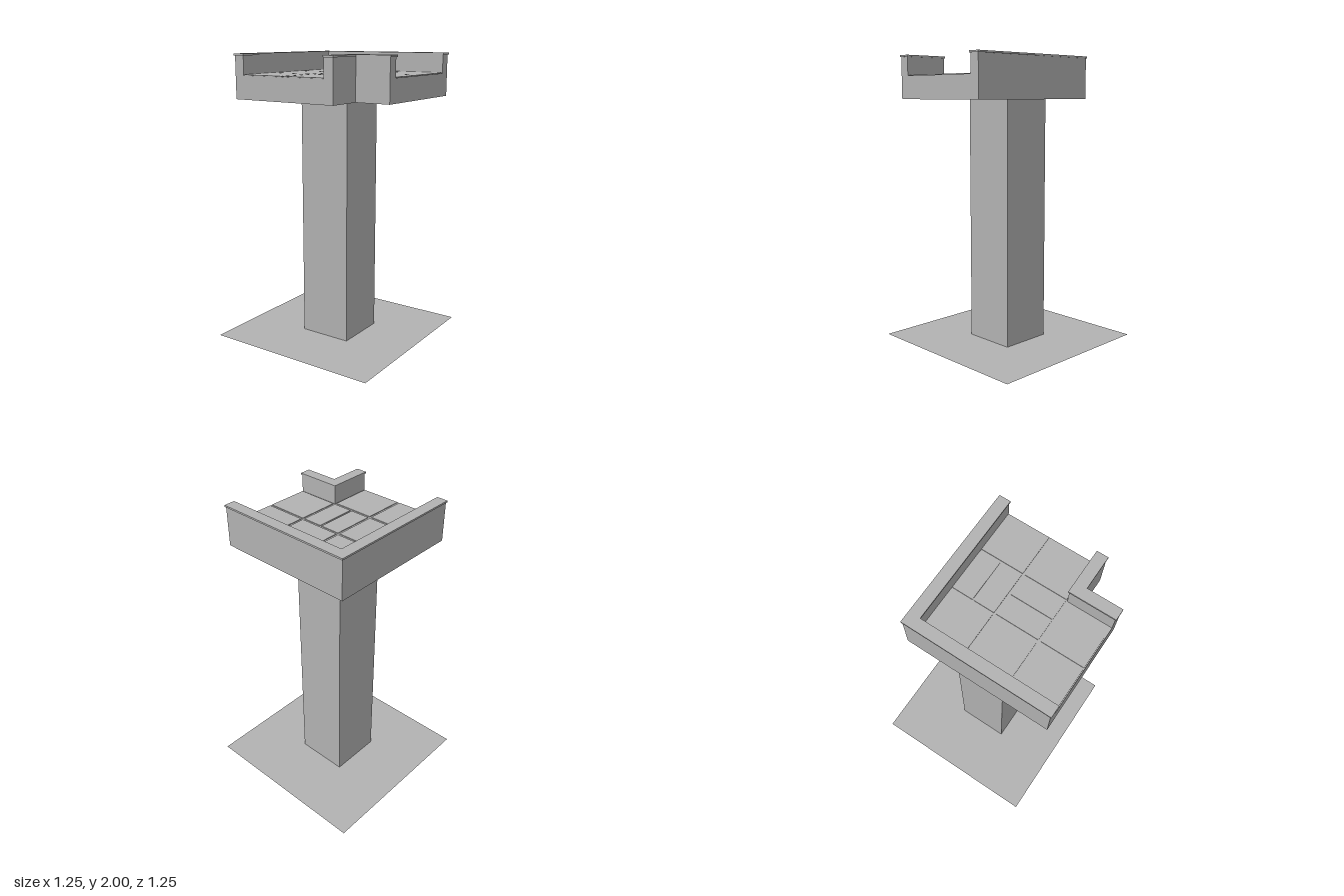
import * as THREE from 'three';

const stone = new THREE.MeshStandardMaterial({ color: 0xb2b2b2, side: THREE.DoubleSide });
stone.name = 'grey stone';

// Extrude a plan outline of [x, z] corners from height y0 to y1
function slab(name, outline, y0, y1) {
  const shape = new THREE.Shape(outline.map(([x, z]) => new THREE.Vector2(x, -z)));
  const geo = new THREE.ExtrudeGeometry(shape, { depth: y1 - y0, bevelEnabled: false });
  geo.rotateX(-Math.PI / 2).translate(0, y0, 0);
  const mesh = new THREE.Mesh(geo, stone);
  mesh.name = name;
  return mesh;
}

const rect = (x0, x1, z0, z1) => [[x0, z0], [x1, z0], [x1, z1], [x0, z1]];

// L-shaped plan: a corner at (a, a), inner corner at (b, b), both arms ending at e
const angle = (a, b, e) => [[a, a], [e, a], [e, b], [b, b], [b, e], [a, e]];

export function createModel() {
  const model = new THREE.Group();
  model.name = 'balconyTower';

  // Ground sheet
  const ground = new THREE.Mesh(new THREE.PlaneGeometry(1.244, 1.244), stone);
  ground.name = 'ground';
  ground.rotation.x = -Math.PI / 2;
  ground.position.set(-0.005, 0, -0.005);
  model.add(ground);

  // Square pillar
  model.add(slab('pillar', rect(-0.19, 0.183, -0.19, 0.183), 0, 1.71));

  // Deck with one corner cut away
  const floorY = 1.864, lo = -0.386, hi = 0.618, cut = 0.376;
  model.add(slab('deck', [[lo, lo], [hi, lo], [hi, cut], [cut, cut], [cut, hi], [lo, hi]], 1.71, floorY));

  // Parapets on the outer corner and around the cut, with overhanging caps
  const capY = 1.988;
  model.add(slab('outerParapet', angle(lo, -0.317, hi), floorY, capY));
  model.add(slab('cornerParapet', angle(0.308, cut, hi), floorY, capY));
  model.add(slab('outerCap', angle(-0.392, -0.311, 0.625), capY, 2));
  model.add(slab('cornerCap', angle(0.302, 0.382, 0.625), capY, 2));

  // Paving slabs separated by narrow joints; two of the squares are halved
  const spans = [[-0.317, -0.014], [0.001, 0.299], [0.314, 0.612]];
  const paving = new THREE.Group();
  paving.name = 'paving';
  const addTile = (x0, x1, z0, z1) =>
    paving.add(slab('pavingSlab', rect(x0, x1, z0, z1), floorY, floorY + 0.005));
  spans.forEach(([x0, x1], col) => spans.forEach(([z0, z1], row) => {
    if (col === 2 && row === 2) return;
    if (col === 1 && row === 0) {
      addTile(x0, x1, z0, -0.169);
      addTile(x0, x1, -0.157, z1);
    } else if (col === 1 && row === 1) {
      addTile(x0, 0.144, z0, z1);
      addTile(0.157, x1, z0, z1);
    } else addTile(x0, x1, z0, z1);
  }));
  model.add(paving);

  return model;
}
